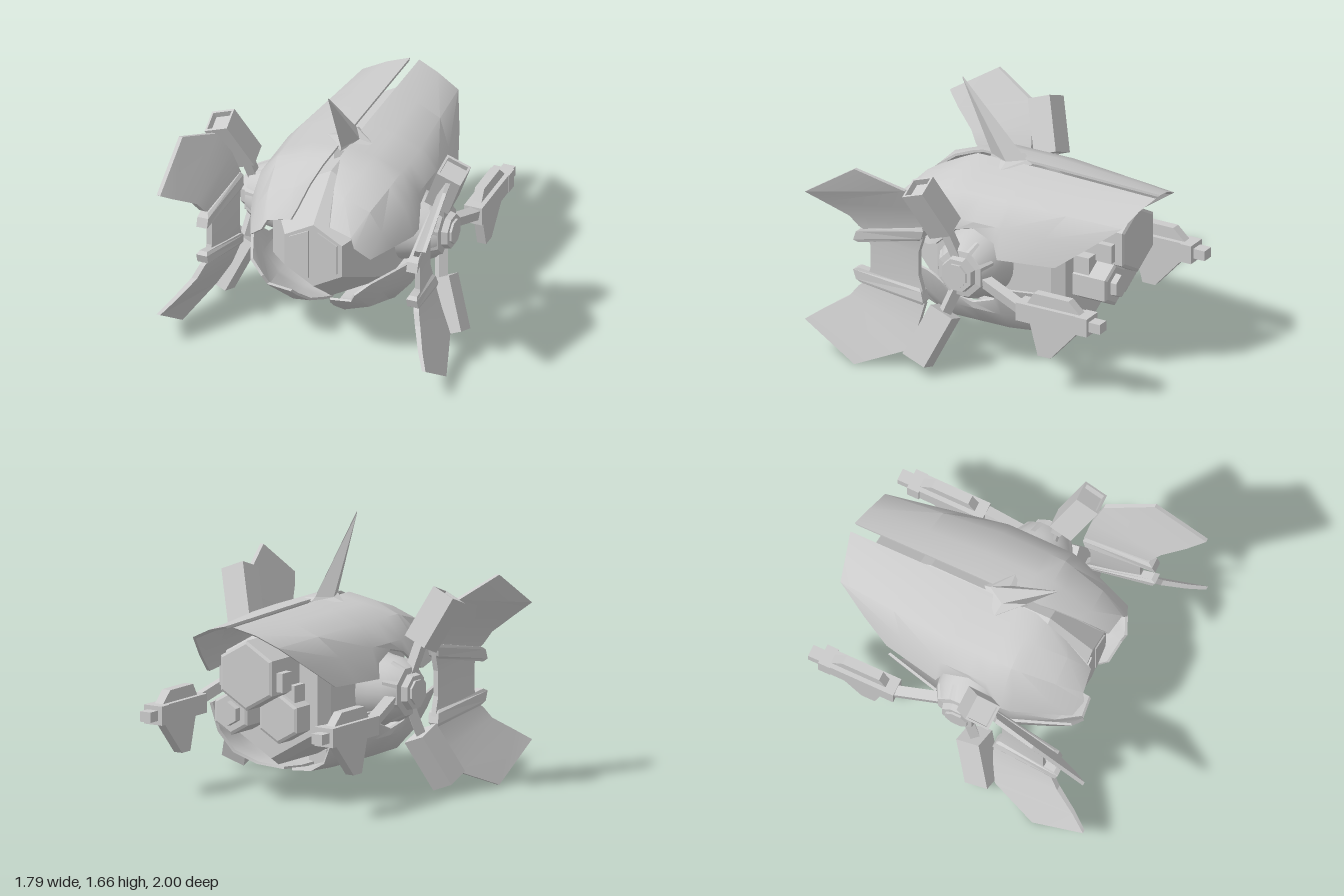
import * as THREE from 'three';
import { toCreasedNormals } from 'three/addons/utils/BufferGeometryUtils.js';

const CY = 0.66; // height of the body axis
const mat = new THREE.MeshStandardMaterial({ color: 0xcccccc, side: THREE.DoubleSide });
const V = (x, y, z) => new THREE.Vector3(x, y, z);

function add(parent, name, geometry, x = 0, y = 0, z = 0) {
  const m = new THREE.Mesh(geometry, mat);
  m.name = name;
  m.position.set(x, y, z);
  parent.add(m);
  return m;
}

// Skin a row of equal closed loops of [x, y, z] points and cap both ends
function loft(loops, crease = 0.1) {
  const n = loops[0].length, idx = [];
  const quad = (a, b, c, d) => idx.push(a, b, c, a, c, d);
  for (let s = 0; s < loops.length - 1; s++)
    for (let i = 0; i < n; i++) {
      const j = (i + 1) % n;
      quad(s * n + i, s * n + j, (s + 1) * n + j, (s + 1) * n + i);
    }
  const e = (loops.length - 1) * n;
  for (let i = 0; i < n / 2 - 1; i++) {
    quad(n - 1 - i, n - 2 - i, i + 1, i);
    quad(e + i, e + i + 1, e + n - 2 - i, e + n - 1 - i);
  }
  const g = new THREE.BufferGeometry();
  g.setAttribute('position', new THREE.Float32BufferAttribute(loops.flat(2), 3));
  g.setIndex(idx);
  return toCreasedNormals(g, crease);
}

// Lathe with few flat sides, profile given as [radius, height]
function facetedLathe(profile, sides, start = 0) {
  const g = new THREE.LatheGeometry(profile.map(p => new THREE.Vector2(...p)), sides, start);
  return toCreasedNormals(g, 0.1);
}

function polygon(points) {
  return new THREE.Shape(points.map(p => new THREE.Vector2(...p)));
}

// Curved armour shell: rows run from the centre line down to the side edge
function shellGeometry(back) {
  const rows = [[0.03, 1.18], [0.21, 1.15], [0.39, 1.08], [0.5, 0.95]];
  const barrel = [[-0.17, 0.76], [-0.13, 0.85], [0.03, 0.91], [0.15, 0.88], [0.27, 0.77]]
    .map(([z, y]) => [...rows, [0.5 + 0.055 * (0.92 - y) / 0.16, y]].map(([x, h]) => [x, h, z]));
  const mid = back.map((p, i) => p.map((v, k) => (v + barrel[0][i][k]) / 2));
  const front = [
    [[0.05, 1.15, 0.35], [0.2, 1.125, 0.35], [0.38, 1.06, 0.33], [0.49, 0.92, 0.33], [0.54, 0.75, 0.33]],
    [[0.08, 1.08, 0.5], [0.17, 1.06, 0.55], [0.34, 1.0, 0.55], [0.42, 0.87, 0.55], [0.475, 0.75, 0.5]],
    [[0.11, 0.97, 0.64], [0.13, 0.92, 0.69], [0.28, 0.89, 0.71], [0.31, 0.83, 0.73], [0.4, 0.75, 0.69]],
  ];
  // Each station becomes a thin closed strip: outside, then inside in reverse
  const loops = [back, mid, ...barrel, ...front].map(st => [
    ...st,
    ...st.map(([x, y, z]) => [x * 0.97, CY + (y - CY) * 0.97, z * 0.98]).reverse(),
  ]);
  return loft(loops, 0.6);
}

function wingLoop([yb, zb, xb], [yf, zf, xf], t) {
  return [[xb - t, yb, zb], [xb + t, yb, zb], [xf + t, yf, zf], [xf - t, yf, zf]];
}

// Crescent wing: back and front edge points as [y, z, x], mirrored below the axis
function buildWing(side) {
  const half = [
    [[0.74, 0.33, 0.635], [0.74, 0.64, 0.695], 0.018],
    [[0.83, 0.3, 0.64], [0.83, 0.67, 0.7], 0.018],
    [[0.92, 0.28, 0.65], [0.86, 0.71, 0.715], 0.018],
    [[1.06, 0.3, 0.7], [0.93, 0.76, 0.745], 0.018],
    [[1.2, 0.35, 0.78], [1.02, 0.9, 0.82], 0.015],
    [[1.32, 0.65, 0.88], [1.09, 1, 0.885], 0.012],
  ];
  const flip = ([y, z, x]) => [2 * CY - y, z, x];
  const lower = half.map(([b, f, t]) => [flip(b), flip(f), t]).reverse();
  add(side, 'wing', loft([...lower, ...half].map(s => wingLoop(...s)), 0.2));
  // Thick collars where the blades meet the middle
  const collar = [
    [[0.82, 0.32, 0.635], [0.745, 0.72, 0.7], 0.025],
    [[0.84, 0.3, 0.64], [0.76, 0.75, 0.7], 0.036],
    [[0.9, 0.28, 0.65], [0.82, 0.73, 0.7], 0.036],
    [[0.92, 0.29, 0.655], [0.84, 0.7, 0.705], 0.025],
  ];
  add(side, 'upperCollar', loft(collar.map(s => wingLoop(...s))));
  add(side, 'lowerCollar', loft(collar.map(([b, f, t]) => wingLoop(flip(b), flip(f), t))));
}

function strut(parent, a, b, w) {
  const d = b.clone().sub(a), m = a.clone().add(b).multiplyScalar(0.5);
  const s = add(parent, 'strut', new THREE.BoxGeometry(w, d.length(), w), m.x, m.y, m.z);
  s.quaternion.setFromUnitVectors(V(0, 1, 0), d.normalize());
}

// Tilted box with an open, recessed end
function buildThruster(side, sign) {
  const at = (x, y, z) => V(x, CY + sign * y, z);
  const start = at(0.65, 0.28, 0.14), end = at(0.782, 0.585, 0.262);
  strut(side, at(0.62, 0.1, 0.07), start, 0.06);
  const dir = end.clone().sub(start), len = dir.length();
  const box = new THREE.Group();
  box.name = 'sideThruster';
  box.position.copy(start);
  box.quaternion.setFromUnitVectors(V(0, 1, 0), dir.normalize());
  side.add(box);
  add(box, 'thrusterBody', new THREE.BoxGeometry(0.165, len - 0.04, 0.16), 0, (len - 0.04) / 2, 0);
  const rect = (w, h) => [[-w, -h], [w, -h], [w, h], [-w, h]];
  const frame = polygon(rect(0.0825, 0.08));
  frame.holes.push(polygon(rect(0.068, 0.065)));
  const rim = new THREE.ExtrudeGeometry(frame, { depth: 0.04, bevelEnabled: false }).rotateX(-Math.PI / 2);
  add(box, 'thrusterRim', rim, 0, len - 0.04, 0);
}

// Rear pod with a fin through it and a stub barrel
function buildPod(side) {
  strut(side, V(0.59, 0.64, -0.06), V(0.655, 0.525, -0.42), 0.065);
  add(side, 'podBody', new THREE.BoxGeometry(0.12, 0.12, 0.44), 0.64, 0.52, -0.61);
  add(side, 'podCollar', new THREE.BoxGeometry(0.135, 0.12, 0.08), 0.637, 0.52, -0.86);
  add(side, 'podBarrel', new THREE.BoxGeometry(0.08, 0.065, 0.08), 0.64, 0.52, -0.94);
  const fin = polygon([[-0.45, 0.57], [-0.5, 0.655], [-0.75, 0.655], [-0.83, 0.58], [-0.82, 0.46],
    [-0.62, 0.24], [-0.53, 0.24], [-0.47, 0.46]]);
  const g = new THREE.ExtrudeGeometry(fin, { depth: 0.06, bevelEnabled: false }).rotateY(-Math.PI / 2);
  add(side, 'podFin', g, 0.67, 0, 0);
}

function buildSide(name) {
  const side = new THREE.Group();
  side.name = name;
  add(side, 'upperShell', shellGeometry([[0.03, 1.16, -1], [0.17, 1.12, -0.965], [0.32, 1.05, -0.93],
    [0.41, 0.9, -0.73], [0.48, 0.76, -0.54]]));
  const low = add(side, 'lowerShell', shellGeometry([[0.03, 1.16, -0.36], [0.2, 1.14, -0.4],
    [0.34, 1.07, -0.46], [0.42, 0.94, -0.51], [0.46, 0.76, -0.54]]));
  low.scale.y = -1;
  low.position.y = 2 * CY;
  // Bell-shaped shoulder and conical hub with a stepped octagonal cap
  const bell = new THREE.LatheGeometry([[0.25, 0.34], [0.215, 0.46], [0.2, 0.56], [0.155, 0.64]]
    .map(p => new THREE.Vector2(...p)), 24).rotateZ(-Math.PI / 2);
  add(side, 'shoulder', bell, 0, CY, 0.04);
  const hub = facetedLathe([[0.205, 0.56], [0.16, 0.645], [0.12, 0.65], [0.11, 0.69], [0.08, 0.69],
    [0.08, 0.705], [0, 0.705]], 8, Math.PI / 8).rotateZ(-Math.PI / 2);
  add(side, 'hub', hub, 0, CY, 0.04);
  buildWing(side);
  buildThruster(side, 1);
  buildThruster(side, -1);
  buildPod(side);
  return side;
}

export function createModel() {
  const model = new THREE.Group();
  model.name = 'drone';

  const right = buildSide('rightSide');
  right.scale.x = -1;
  model.add(buildSide('leftSide'), right);

  // Hexagonal core, points up and down, tapering to the eye
  const core = facetedLathe([[0, -0.54], [0.4, -0.54], [0.45, -0.46], [0.45, 0.35], [0.22, 0.64], [0, 0.64]], 6)
    .rotateX(Math.PI / 2);
  add(model, 'core', core, 0, CY, 0);

  // Split eye lens
  for (const s of [-1, 1]) {
    const half = polygon([[0.03, 0.17], [0.16, 0.1], [0.16, -0.1], [0.03, -0.17]].map(([x, y]) => [s * x, y]));
    add(model, 'eyePanel', new THREE.ExtrudeGeometry(half, { depth: 0.012, bevelEnabled: false }), 0, CY + 0.005, 0.638);
  }

  // Crest spike leaning forward from a flared diamond base
  const diamond = (x, y, zf, zb, zm) => [[0, y, zf], [x, y, zm], [0, y + 0.01, zb], [-x, y, zm]];
  add(model, 'spike', loft([diamond(0.15, 1.164, 0.2, -0.1, 0.04), diamond(0.065, 1.185, 0.19, -0.06, 0.05),
    diamond(0.001, 1.65, 0.4, 0.396, 0.398)]));
  add(model, 'spikeMount', new THREE.BoxGeometry(0.12, 0.1, 0.2), 0, 1.12, 0.06);

  // Chin block
  add(model, 'chin', new THREE.BoxGeometry(0.13, 0.12, 0.15), 0, 0.18, 0.045);

  // Cluster of hexagonal engines at the back: [x, y, radius, rear z]
  for (const [x, y, r, z] of [[-0.02, 0.83, 0.22, -0.85], [0.14, 0.57, 0.14, -0.78], [-0.15, 0.55, 0.16, -0.69]]) {
    const p = [[r, -0.5], [r, z + 0.01], [r - 0.02, z], [0, z]];
    add(model, 'engine', facetedLathe(p, 6).rotateX(Math.PI / 2), x, y, 0);
  }
  // Raised nozzle on the left engine, vents beside the upper one
  add(model, 'nozzle', facetedLathe([[0.08, -0.77], [0.075, -0.82], [0, -0.82]], 6).rotateX(Math.PI / 2), 0.14, 0.57, 0);
  for (const s of [-1, 1])
    add(model, 'engineVent', new THREE.BoxGeometry(0.08, 0.12, 0.1), -0.02 + s * 0.195, 0.8, -0.74);
  add(model, 'engineMount', new THREE.BoxGeometry(0.5, 0.16, 0.14), 0, 0.68, -0.58);
  return model;
}
